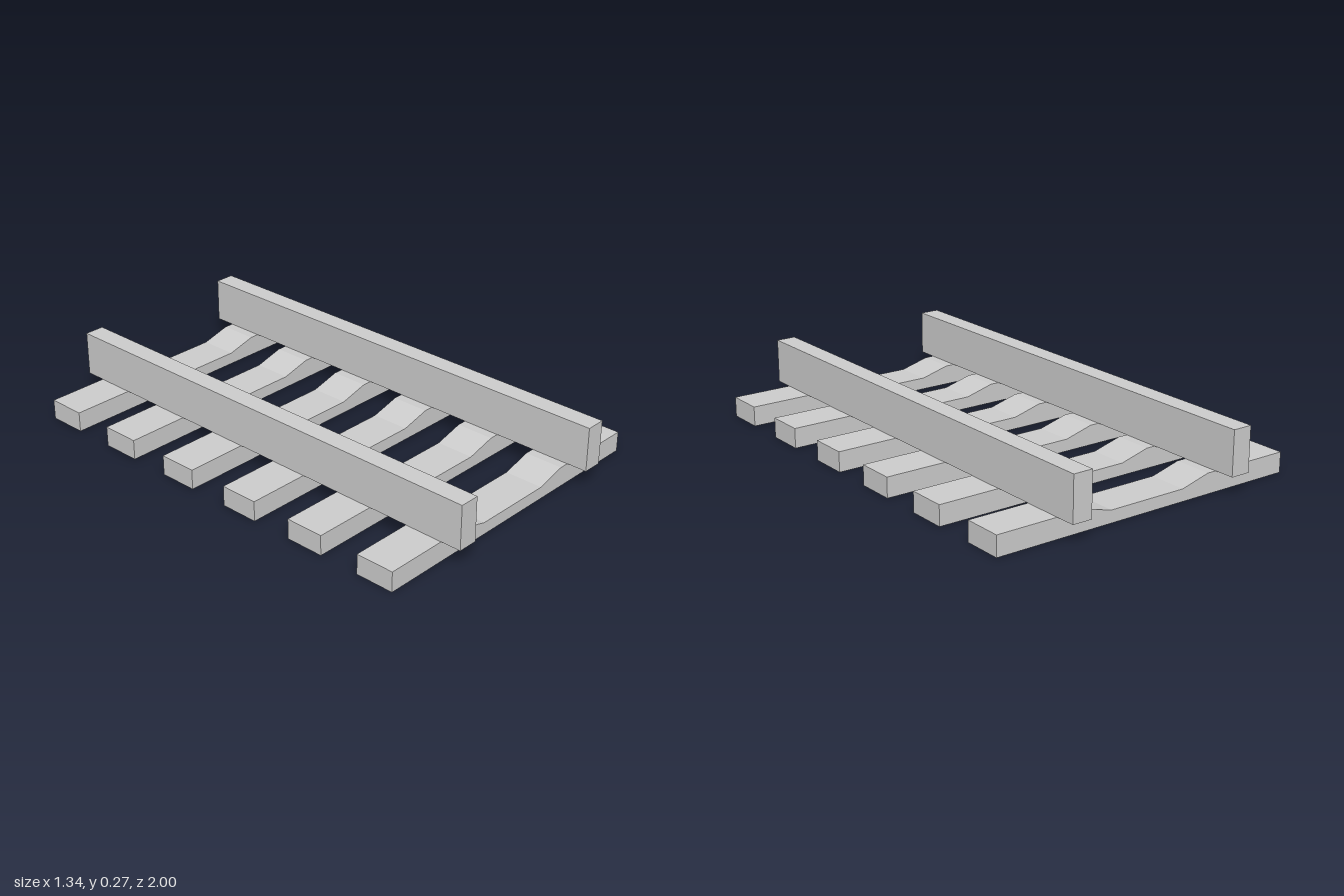
import * as THREE from 'three';

const material = new THREE.MeshStandardMaterial({ color: 0xcccccc, flatShading: true });

export function createModel() {
  const track = new THREE.Group();
  track.name = 'railTrack';

  // Sleeper profile: full height under the rails, dipped in the middle
  const half = [[0.672, 0], [0.672, 0.083], [0.292, 0.083], [0.17, 0.05]];
  const mirrored = half.map(([x, y]) => [-x, y]).reverse();
  const profile = new THREE.Shape([...half, ...mirrored].map(([x, y]) => new THREE.Vector2(x, y)));
  const width = 0.162;
  const sleeperGeometry = new THREE.ExtrudeGeometry(profile, { depth: width, bevelEnabled: false });
  sleeperGeometry.translate(0, 0, -width / 2);

  // Six evenly spaced sleepers
  const count = 6;
  for (let i = 0; i < count; i++) {
    const sleeper = new THREE.Mesh(sleeperGeometry, material);
    sleeper.name = `sleeper${i + 1}`;
    sleeper.position.z = (i - (count - 1) / 2) / 3;
    track.add(sleeper);
  }

  // Two plain rails resting on the sleepers
  const railGeometry = new THREE.BoxGeometry(0.083, 0.184, 2);
  for (const [name, side] of [['leftRail', 1], ['rightRail', -1]]) {
    const rail = new THREE.Mesh(railGeometry, material);
    rail.name = name;
    rail.position.set(side * 0.373, 0.175, 0);
    track.add(rail);
  }

  return track;
}
